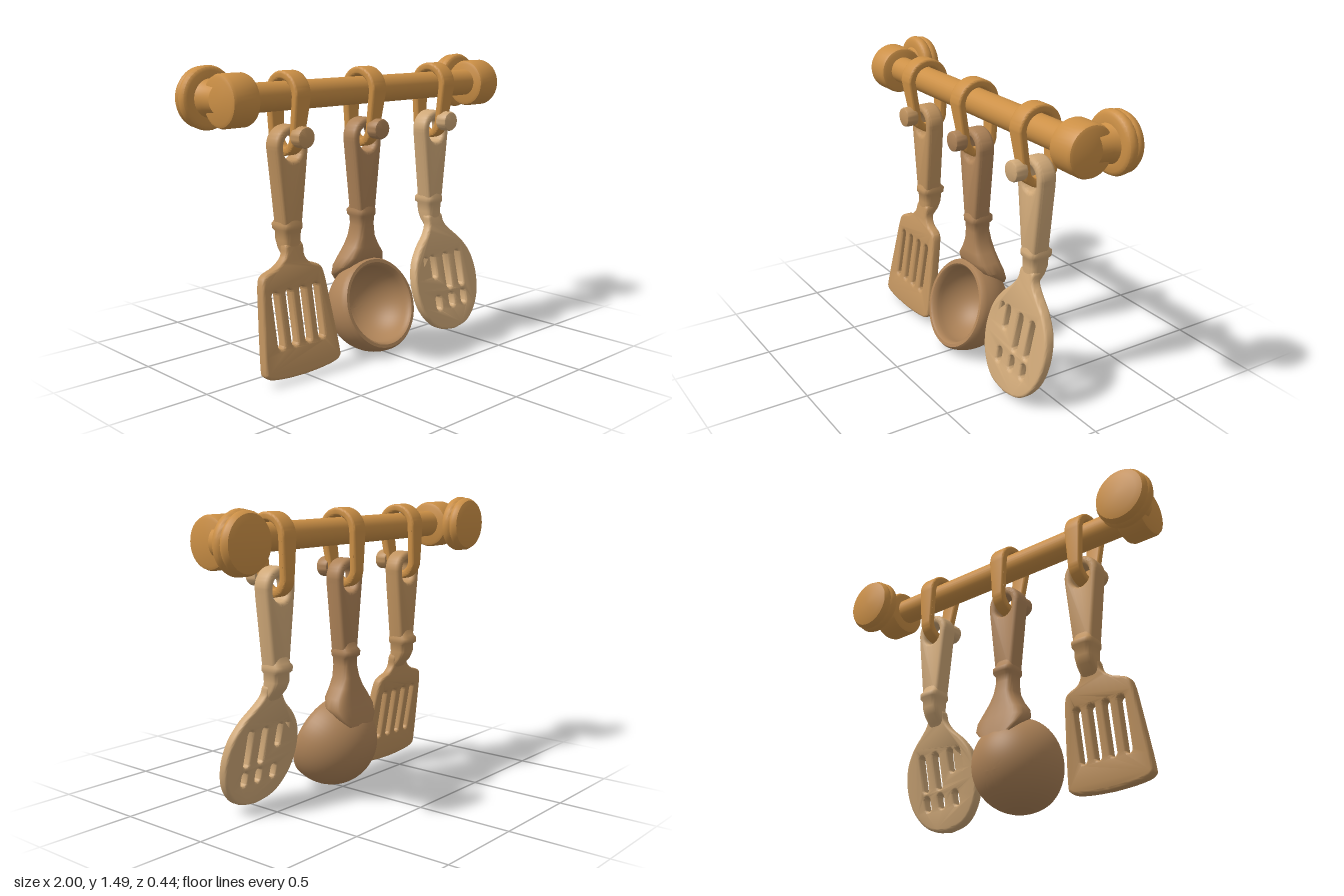
import * as THREE from 'three';
import { toCreasedNormals } from 'three/addons/utils/BufferGeometryUtils.js';

const mat = (color) => new THREE.MeshStandardMaterial({ color });
const WOOD = mat(0xcc9046), SPATULA = mat(0xc0935f), LADLE = mat(0xae8358), SPOON = mat(0xcfa878);
const V = (x, y) => new THREE.Vector2(x, y);

function add(parent, name, geo, material, crease = 0.7) {
  const mesh = new THREE.Mesh(toCreasedNormals(geo, crease), material);
  mesh.name = name;
  parent.add(mesh);
  return mesh;
}

const lathe = (pts, n = 40) => new THREE.LatheGeometry(pts.map(([r, y]) => V(r, y)), n);

// Rounded short cylinder along y, centred on the origin
function drum(r, h, b) {
  const k = b * 0.3, e = h / 2;
  return lathe([[0, -e], [r - b, -e], [r - k, -e + k], [r, -e + b],
    [r, e - b], [r - k, e - k], [r - b, e], [0, e]]);
}

// Bevelled plate whose outer size matches the shape, back face at z = z0
function plate(shape, z0, thickness, bevel) {
  const geo = new THREE.ExtrudeGeometry(shape, {
    depth: thickness - 2 * bevel, bevelThickness: bevel, bevelSize: bevel,
    bevelOffset: -bevel, bevelSegments: 3, curveSegments: 20,
  });
  return geo.translate(0, 0, z0 + bevel);
}

function moveVertices(geo, rule) {
  const p = geo.attributes.position, v = new THREE.Vector3();
  for (let i = 0; i < p.count; i++) {
    rule(v.fromBufferAttribute(p, i));
    p.setXYZ(i, v.x, v.y, v.z);
  }
  geo.computeVertexNormals();
  return geo;
}

// Skin over rounded-rectangle sections [y, halfWidth, zBack, zFront], bottom to top
function loft(sections, n = 32) {
  const pos = [], idx = [];
  const soft = (t) => Math.sign(t) * Math.abs(t) ** 0.55;
  sections.forEach(([y, w, zb, zf], i) => {
    for (let j = 0; j < n; j++) {
      const a = (j / n) * Math.PI * 2;
      pos.push(w * soft(Math.cos(a)), y, (zb + zf) / 2 + (zf - zb) / 2 * soft(Math.sin(a)));
      if (i === sections.length - 1) continue;
      const p = i * n + j, q = i * n + (j + 1) % n;
      idx.push(p, p + n, q, q, p + n, q + n);
    }
  });
  const geo = new THREE.BufferGeometry();
  geo.setAttribute('position', new THREE.Float32BufferAttribute(pos, 3));
  geo.setIndex(idx);
  geo.computeVertexNormals();
  return geo;
}

// Vertical slot with round ends
function slot(x, y0, y1, w) {
  const r = w / 2, path = new THREE.Path();
  path.absarc(x, y1 - r, r, 0, Math.PI);
  path.absarc(x, y0 + r, r, Math.PI, Math.PI * 2);
  path.closePath();
  return path;
}

// Grip with hanging hole, ridge and neck; foot sections lead into the head
function addHandle(tool, material, foot) {
  const shape = new THREE.Shape();
  shape.moveTo(-0.054, 0.72);
  shape.lineTo(0.054, 0.72);
  shape.lineTo(0.096, 1.08);
  shape.absarc(0, 1.112, 0.098, -0.2, Math.PI + 0.2);
  shape.closePath();
  shape.holes.push(slot(0, 1.04, 1.165, 0.104));
  add(tool, 'grip', plate(shape, -0.046, 0.096, 0.02), material);
  add(tool, 'neck', loft([...foot,
    [0.66, 0.052, -0.055, 0.05], [0.7, 0.053, -0.056, 0.052], [0.712, 0.06, -0.072, 0.06],
    [0.735, 0.061, -0.074, 0.06], [0.75, 0.056, -0.058, 0.051], [0.79, 0.052, -0.042, 0.045]]), material, 1);
}

// Slotted flat head, leaning forward towards its lower edge
function addBlade(tool, material, offset, half, slots, lean) {
  const curve = new THREE.SplineCurve(half.map(([x, y]) => V(x, y))).getPoints(44);
  const mirror = curve.slice(0, -1).reverse().map((p) => V(-p.x, p.y));
  const shape = new THREE.Shape([...curve, ...mirror].reverse());
  slots.forEach((s) => shape.holes.push(slot(...s)));
  const geo = moveVertices(plate(shape, 0, 0.053, 0.013), (v) => {
    v.z += lean * (0.62 - v.y);
    v.x += offset * THREE.MathUtils.smoothstep(0.62 - v.y, 0, 0.12);
  });
  add(tool, 'blade', geo, material);
}

// Closed strap around the rail that passes through the grip hole, with a front peg
function addHook(parent, x, pegMaterial) {
  const hook = new THREE.Group();
  hook.name = 'hook';
  hook.position.x = x;
  const loop = (path, r1, r2) => {
    path.absarc(0.015, 1.345, r1, 0, Math.PI);
    path.absarc(0, 1.16, r2, Math.PI, Math.PI * 2);
    path.closePath();
    return path;
  };
  const shape = loop(new THREE.Shape(), 0.117, 0.098);
  shape.holes.push(loop(new THREE.Path(), 0.076, 0.058));
  const geo = plate(shape, -0.047, 0.094, 0.012).rotateY(-Math.PI / 2);
  moveVertices(geo, (v) => { v.x *= 1 - 0.25 * THREE.MathUtils.smoothstep(1.32 - v.y, 0, 0.12); });
  add(hook, 'hookStrap', geo, WOOD);
  add(hook, 'hookPeg', drum(0.051, 0.07, 0.012).rotateX(Math.PI / 2), pegMaterial).position.set(0, 1.158, 0.115);
  parent.add(hook);
}

function makeTool(parent, name, x) {
  const tool = new THREE.Group();
  tool.name = name;
  tool.position.x = x;
  parent.add(tool);
  return tool;
}

export function createModel() {
  const model = new THREE.Group();
  model.name = 'utensilRack';

  // Rail with end holders and wall discs
  add(model, 'rail', new THREE.CylinderGeometry(0.069, 0.069, 1.6, 32).rotateZ(Math.PI / 2), WOOD)
    .position.set(0, 1.345, 0.012);
  for (const s of [-1, 1]) {
    add(model, 'endHolder', drum(0.123, 0.152, 0.02).rotateZ(Math.PI / 2), WOOD).position.set(s * 0.826, 1.34, 0.012);
    const disc = lathe([[0.075, 0.02], [0.08, 0.08], [0.09, 0.108], [0.125, 0.108], [0.141, 0.116], [0.148, 0.132],
      [0.146, 0.15], [0.138, 0.16], [0.142, 0.168], [0.142, 0.18], [0.13, 0.2], [0.1, 0.21], [0, 0.216]]);
    add(model, 'wallDisc', disc.rotateX(-Math.PI / 2), WOOD).position.set(s * 0.852, 1.345, 0);
  }

  const flatFoot = [[0.53, 0.04, 0.035, 0.06], [0.58, 0.05, 0.002, 0.055], [0.62, 0.052, -0.035, 0.052]];

  // Spatula
  const spatula = makeTool(model, 'spatula', -0.505);
  addHandle(spatula, SPATULA, flatFoot);
  addBlade(spatula, SPATULA, -0.027,
    [[0, 0.645], [0.05, 0.64], [0.06, 0.585], [0.1, 0.545], [0.165, 0.52], [0.19, 0.48], [0.207, 0.35],
      [0.233, 0.1], [0.225, 0.055], [0.185, 0.038], [0.1, 0.028], [0, 0.024]],
    [-0.125, -0.042, 0.042, 0.125].map((x) => [x, 0.17, 0.437, 0.036]), 0.175);

  // Ladle with a tilted hollow bowl
  const ladle = makeTool(model, 'ladle', -0.015);
  addHandle(ladle, LADLE, [[0.36, 0.09, -0.12, -0.1], [0.4, 0.13, -0.113, -0.05], [0.45, 0.145, -0.1, 0.035],
    [0.5, 0.122, -0.085, 0.06], [0.55, 0.085, -0.075, 0.057], [0.6, 0.06, -0.066, 0.052]]);
  const bowl = [];
  for (let i = 0; i <= 20; i++) {
    const a = -Math.PI / 2 + (i / 20) * (Math.PI / 2 + 0.18);
    bowl.push([Math.max(0, 0.241 * Math.cos(a)), 0.241 * Math.sin(a)]);
  }
  bowl.push([0.228, 0.056], [0.212, 0.056], [0.202, 0.046]);
  for (let i = 0; i <= 16; i++) {
    const a = (i / 16) * Math.PI / 2;
    bowl.push([Math.max(0, 0.198 * Math.cos(a)), 0.02 - 0.2 * Math.sin(a)]);
  }
  add(ladle, 'bowl', lathe(bowl, 48).rotateX(THREE.MathUtils.degToRad(70)), LADLE).position.set(0, 0.247, 0.09);

  // Slotted spoon
  const spoon = makeTool(model, 'slottedSpoon', 0.495);
  addHandle(spoon, SPOON, flatFoot);
  addBlade(spoon, SPOON, 0.016,
    [[0, 0.645], [0.05, 0.64], [0.06, 0.59], [0.1, 0.54], [0.17, 0.475], [0.225, 0.39], [0.245, 0.28],
      [0.225, 0.17], [0.17, 0.085], [0.1, 0.038], [0, 0.02]],
    [[-0.142, 0.31, 0.427, 0.03], [-0.092, 0.31, 0.43, 0.036], [-0.092, 0.14, 0.215, 0.036],
      [0.012, 0.24, 0.43, 0.038], [0.012, 0.14, 0.215, 0.038],
      [0.108, 0.24, 0.43, 0.036], [0.108, 0.14, 0.215, 0.036]], 0.225);

  addHook(model, -0.505, SPATULA);
  addHook(model, -0.015, LADLE);
  addHook(model, 0.495, SPOON);
  return model;
}
